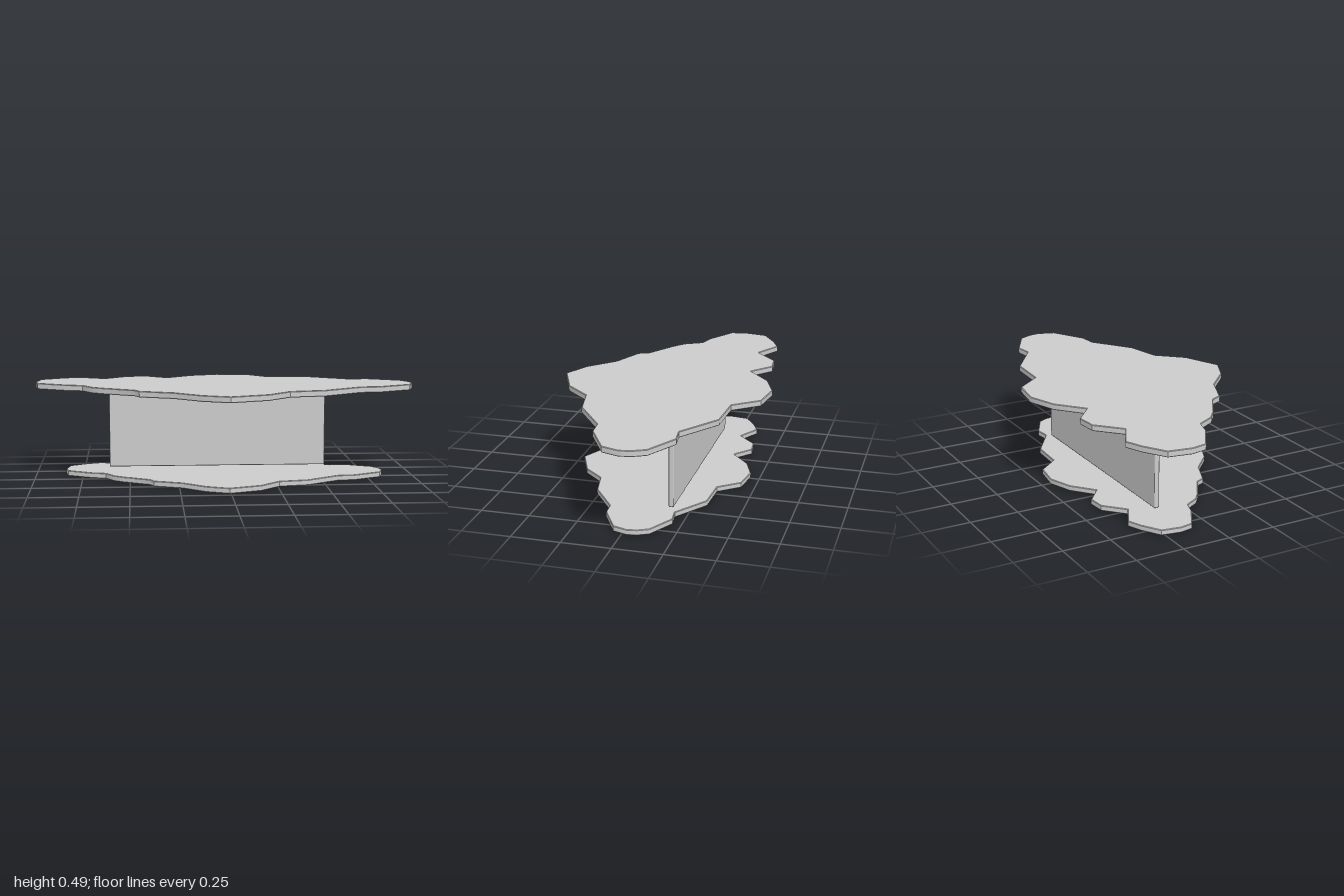
import * as THREE from 'three';
import { toCreasedNormals } from 'three/addons/utils/BufferGeometryUtils.js';
import { RoundedBoxGeometry } from 'three/addons/geometries/RoundedBoxGeometry.js';

// Scalloped cloud outline as x, z pairs, starting at the back tip
const OUTLINE = [
  [-0.01, -0.555], [0.16, -0.53], [0.265, -0.4], [0.485, -0.39], [0.695, -0.245], [0.79, -0.257],
  [0.957, -0.165], [0.99, -0.1], [1, -0.04], [0.97, 0.05], [0.79, 0.15], [0.695, 0.157],
  [0.485, 0.305], [0.305, 0.343], [0.187, 0.472], [-0.01, 0.555], [-0.145, 0.49], [-0.28, 0.36],
  [-0.45, 0.285], [-0.475, 0.23], [-0.635, 0.13], [-0.695, 0.08], [-0.745, -0.01], [-0.83, -0.035],
  [-0.985, -0.13], [-1, -0.21], [-0.98, -0.33], [-0.87, -0.4], [-0.78, -0.438], [-0.635, -0.357],
  [-0.515, -0.47], [-0.405, -0.48], [-0.295, -0.385], [-0.16, -0.5],
];
const BEVEL = 0.003;

const material = new THREE.MeshStandardMaterial({ color: 0xcccccc });

// Flat slab with the cloud outline, scaled in plan and resting at height y
function cloudSlab(name, scaleX, scaleZ, offsetZ, y, thickness) {
  const points = OUTLINE.map(([x, z]) => new THREE.Vector2(x * scaleX, -(z * scaleZ + offsetZ)));
  const geometry = new THREE.ExtrudeGeometry(new THREE.Shape(points), {
    depth: thickness - 2 * BEVEL,
    bevelEnabled: true,
    bevelThickness: BEVEL,
    bevelSize: BEVEL,
    bevelOffset: -BEVEL,
    bevelSegments: 1,
  });
  geometry.rotateX(-Math.PI / 2);
  geometry.translate(0, y + BEVEL, 0);
  const mesh = new THREE.Mesh(toCreasedNormals(geometry, 0.6), material);
  mesh.name = name;
  return mesh;
}

export function createModel() {
  const group = new THREE.Group();
  group.name = 'cloudTable';

  group.add(cloudSlab('tableTop', 1, 1, 0, 0.462, 0.031));
  group.add(cloudSlab('base', 0.842, 0.827, 0.006, 0, 0.028));

  // Upright panel behind the middle, hanging just clear of the base
  const panel = new THREE.Mesh(new RoundedBoxGeometry(1.16, 0.427, 0.027, 2, 0.005), material);
  panel.name = 'uprightPanel';
  panel.position.set(-0.03, 0.038 + 0.427 / 2, -0.168);
  group.add(panel);

  return group;
}
